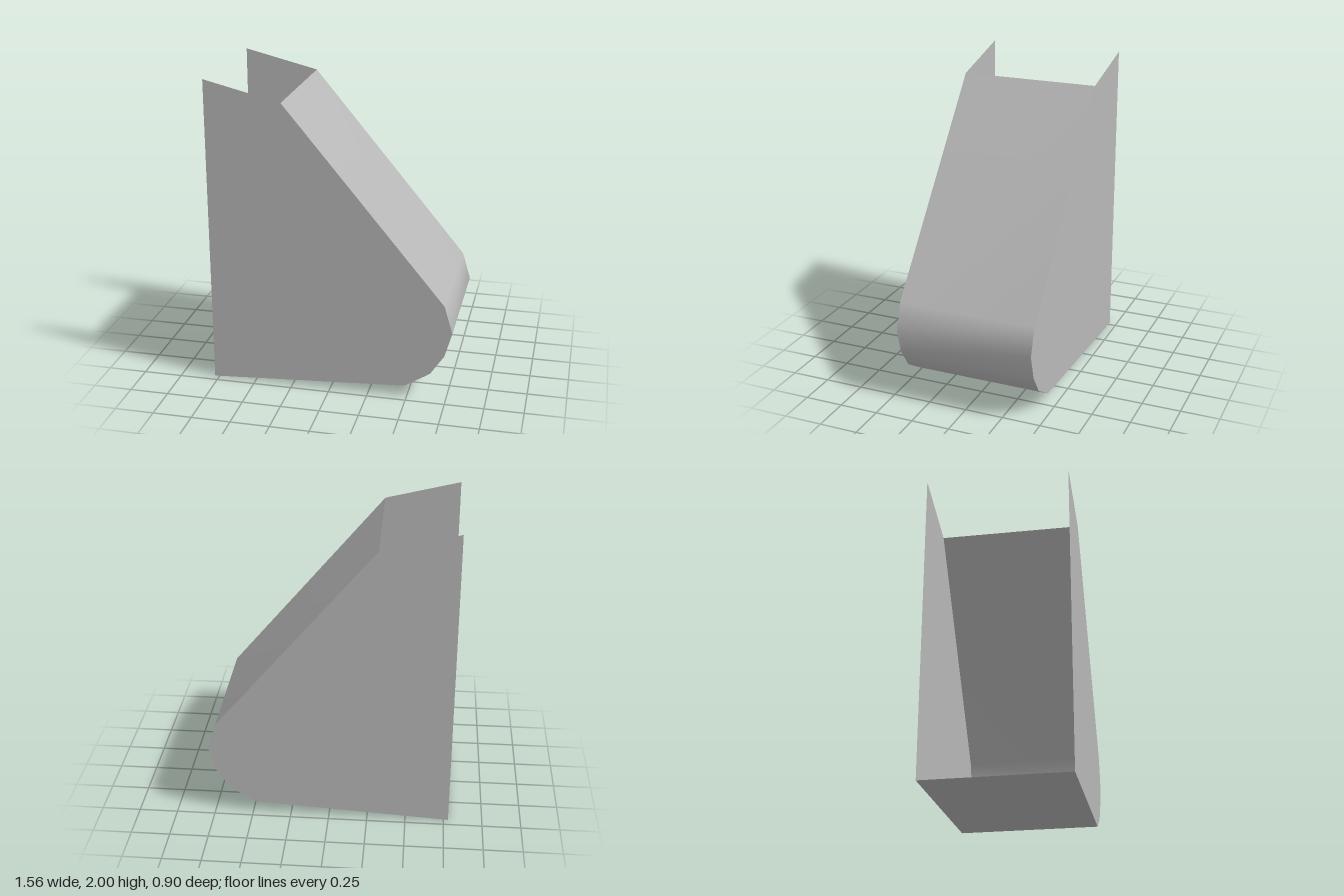
import * as THREE from 'three';

const HALF = 0.45; // half of the depth along z

// Sheet swept across z along a profile; its inner bends are smooth
function sheet(points) {
  const pos = [], idx = [];
  points.forEach(([x, y], i) => {
    pos.push(x, y, HALF, x, y, -HALF);
    if (i < points.length - 1) {
      const a = 2 * i;
      idx.push(a, a + 2, a + 1, a + 2, a + 3, a + 1);
    }
  });
  const geo = new THREE.BufferGeometry();
  geo.setAttribute('position', new THREE.Float32BufferAttribute(pos, 3));
  geo.setIndex(idx);
  geo.computeVertexNormals();
  return geo;
}

export function createModel() {
  const group = new THREE.Group();
  group.name = 'openBracketCover';
  const grey = new THREE.MeshStandardMaterial({ color: 0xb8b8b8, side: THREE.DoubleSide });
  grey.name = 'grey';

  const add = (name, geo) => {
    const mesh = new THREE.Mesh(geo, grey);
    mesh.name = name;
    group.add(mesh);
    return mesh;
  };

  // Slope and rounded nose, from the top down to the floor
  const slope = [
    [-0.295, 1.88], [0.727, 0.65], [0.78, 0.47], [0.735, 0.31], [0.647, 0.178], [0.485, 0.075],
  ];
  const floor = [[0.485, 0.075], [-0.78, 0]];
  add('slopedCover', sheet(slope));
  add('floor', sheet(floor));

  // Side panels; the upper end and the -x end stay open
  const outline = [[-0.78, 2], ...slope, [-0.78, 0]];
  const panel = (mirror) =>
    new THREE.ShapeGeometry(new THREE.Shape(outline.map(([x, y]) => new THREE.Vector2(x * mirror, y))));
  add('frontPanel', panel(1)).position.z = HALF;
  const back = add('backPanel', panel(-1));
  back.rotation.y = Math.PI;
  back.position.z = -HALF;

  return group;
}
